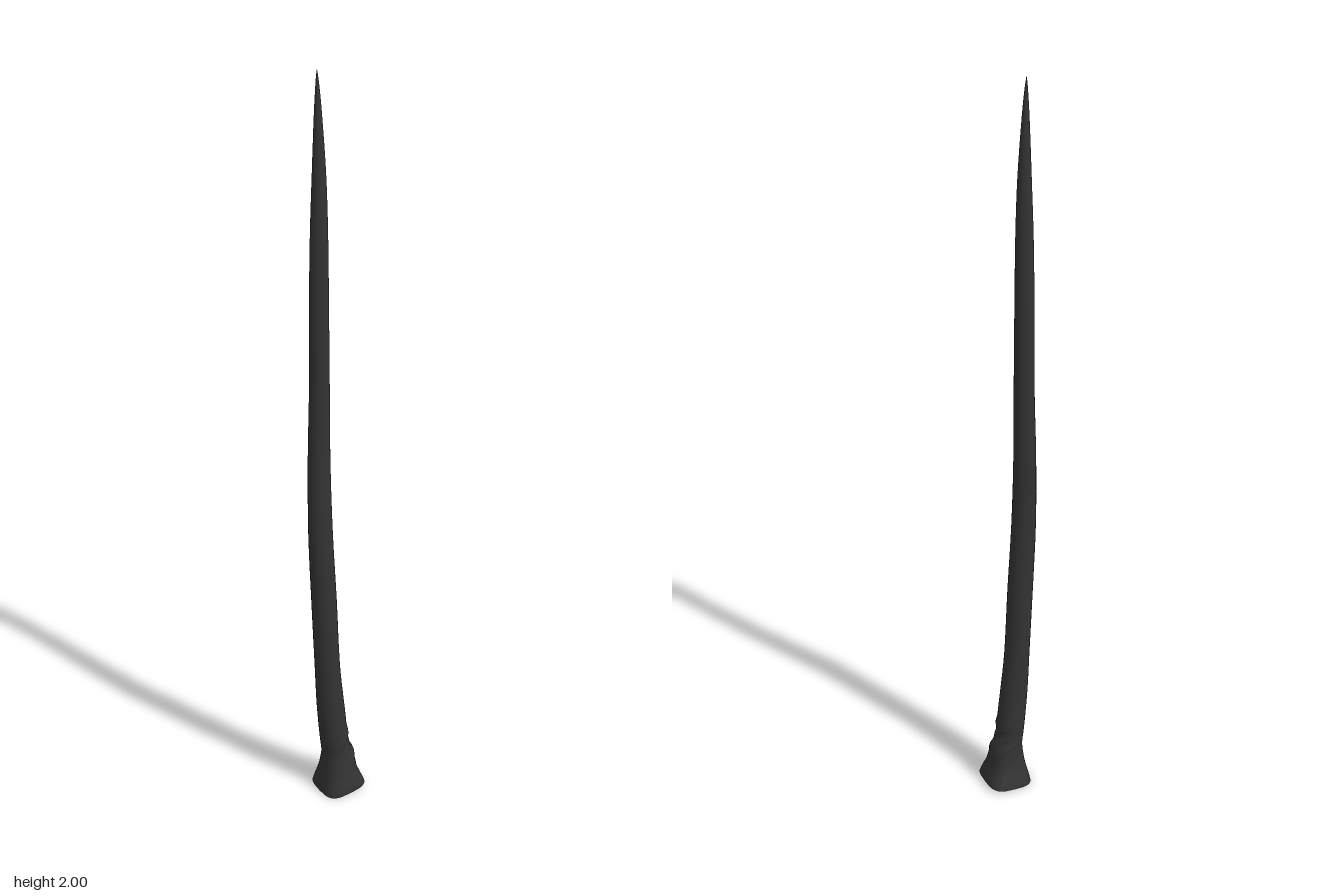
import * as THREE from 'three';

// Cross-sections from foot to tip: [y, xMin, xMax, zMin, zMax]
const SECTIONS = [
  [0.01, -0.05, 0.068, -0.061, 0.059],
  [0.025, -0.048, 0.063, -0.057, 0.057],
  [0.06, -0.041, 0.051, -0.046, 0.049],
  [0.11, -0.037, 0.044, -0.038, 0.041],
  [0.15, -0.041, 0.032, -0.036, 0.038],
  [0.18, -0.044, 0.029, -0.036, 0.037],
  [0.28, -0.053, 0.018, -0.031, 0.034],
  [0.4, -0.058, 0.006, -0.03, 0.033],
  [0.6, -0.066, -0.002, -0.03, 0.03],
  [0.8, -0.072, -0.011, -0.031, 0.025],
  [1.0, -0.066, -0.011, -0.04, 0.013],
  [1.2, -0.057, -0.008, -0.045, 0.004],
  [1.4, -0.055, -0.008, -0.045, 0],
  [1.6, -0.052, -0.01, -0.042, -0.002],
  [1.75, -0.047, -0.014, -0.037, -0.007],
  [1.9, -0.041, -0.023, -0.031, -0.015],
  [1.97, -0.037, -0.029, -0.027, -0.02],
  [2.0, -0.034, -0.033, -0.0245, -0.0235],
];
const SIDES = 28;
const STEPS = 4;

// Smooth blend between neighbouring sections
function sectionAt(t) {
  const last = SECTIONS.length - 1;
  const i = Math.min(Math.floor(t), last - 1);
  const f = t - i;
  const [a, b, c, d] = [i - 1, i, i + 1, i + 2].map((k) => SECTIONS[THREE.MathUtils.clamp(k, 0, last)]);
  return b.map((v, k) => {
    if (k === 0) return v + (c[0] - v) * f;
    const slope = (p, q) => ((q[k] - p[k]) / (q[0] - p[0])) * (c[0] - b[0]);
    const m0 = slope(a, c), m1 = slope(b, d);
    const f2 = f * f, f3 = f2 * f;
    return (2 * f3 - 3 * f2 + 1) * v + (f3 - 2 * f2 + f) * m0 + (3 * f2 - 2 * f3) * c[k] + (f3 - f2) * m1;
  });
}

function ringAt(t) {
  const [y, x0, x1, z0, z1] = sectionAt(t);
  const foot = THREE.MathUtils.clamp(1 - (y - 0.01) / 0.12, 0, 1);
  const power = 1 - 0.42 * foot; // squarer towards the foot
  const rough = Math.exp(-(((y - 0.14) / 0.06) ** 2));
  const ring = [];
  for (let j = 0; j < SIDES; j++) {
    const a = (j / SIDES) * Math.PI * 2;
    const c = Math.cos(a), s = Math.sin(a);
    // Gnarled band above the foot, strongest on the left side
    const bump = 1 + rough * (0.05 + 0.05 * c) * Math.sin(y * 120 + 3 * a) * Math.cos(2 * a + y * 45);
    const x = (x0 + x1) / 2 + ((x1 - x0) / 2) * Math.sign(c) * Math.abs(c) ** power * bump;
    const z = (z0 + z1) / 2 + ((z1 - z0) / 2) * Math.sign(s) * Math.abs(s) ** power * bump;
    ring.push([x, y + foot * foot * 0.1 * (x - 0.05), z]); // slightly tilted sole
  }
  return ring;
}

function makeMesh(name, points, index, material) {
  const geometry = new THREE.BufferGeometry();
  geometry.setAttribute('position', new THREE.Float32BufferAttribute(points.flat(), 3));
  geometry.setIndex(index);
  geometry.computeVertexNormals();
  const mesh = new THREE.Mesh(geometry, material);
  mesh.name = name;
  return mesh;
}

export function createModel() {
  const group = new THREE.Group();
  group.name = 'taperedSpike';
  const material = new THREE.MeshStandardMaterial({ color: 0x333333 });

  // Shaft: one skin lofted through all rings
  const rows = (SECTIONS.length - 1) * STEPS;
  const points = [];
  const index = [];
  for (let i = 0; i <= rows; i++) points.push(...ringAt(i / STEPS));
  for (let i = 0; i < rows; i++) {
    for (let j = 0; j < SIDES; j++) {
      const a = i * SIDES + j;
      const b = i * SIDES + ((j + 1) % SIDES);
      index.push(a, a + SIDES, b, b, a + SIDES, b + SIDES);
    }
  }
  // Close the tip
  points.push([-0.0335, 2, -0.024]);
  for (let j = 0; j < SIDES; j++) {
    index.push(rows * SIDES + j, points.length - 1, rows * SIDES + ((j + 1) % SIDES));
  }
  group.add(makeMesh('shaft', points, index, material));

  // Flat sole under the flared foot
  const sole = ringAt(0);
  const fan = [];
  for (let j = 0; j < SIDES; j++) fan.push(SIDES, j, (j + 1) % SIDES);
  const centre = [0, 1, 2].map((k) => sole.reduce((sum, p) => sum + p[k], 0) / SIDES);
  group.add(makeMesh('footSole', [...sole, centre], fan, material));

  return group;
}
